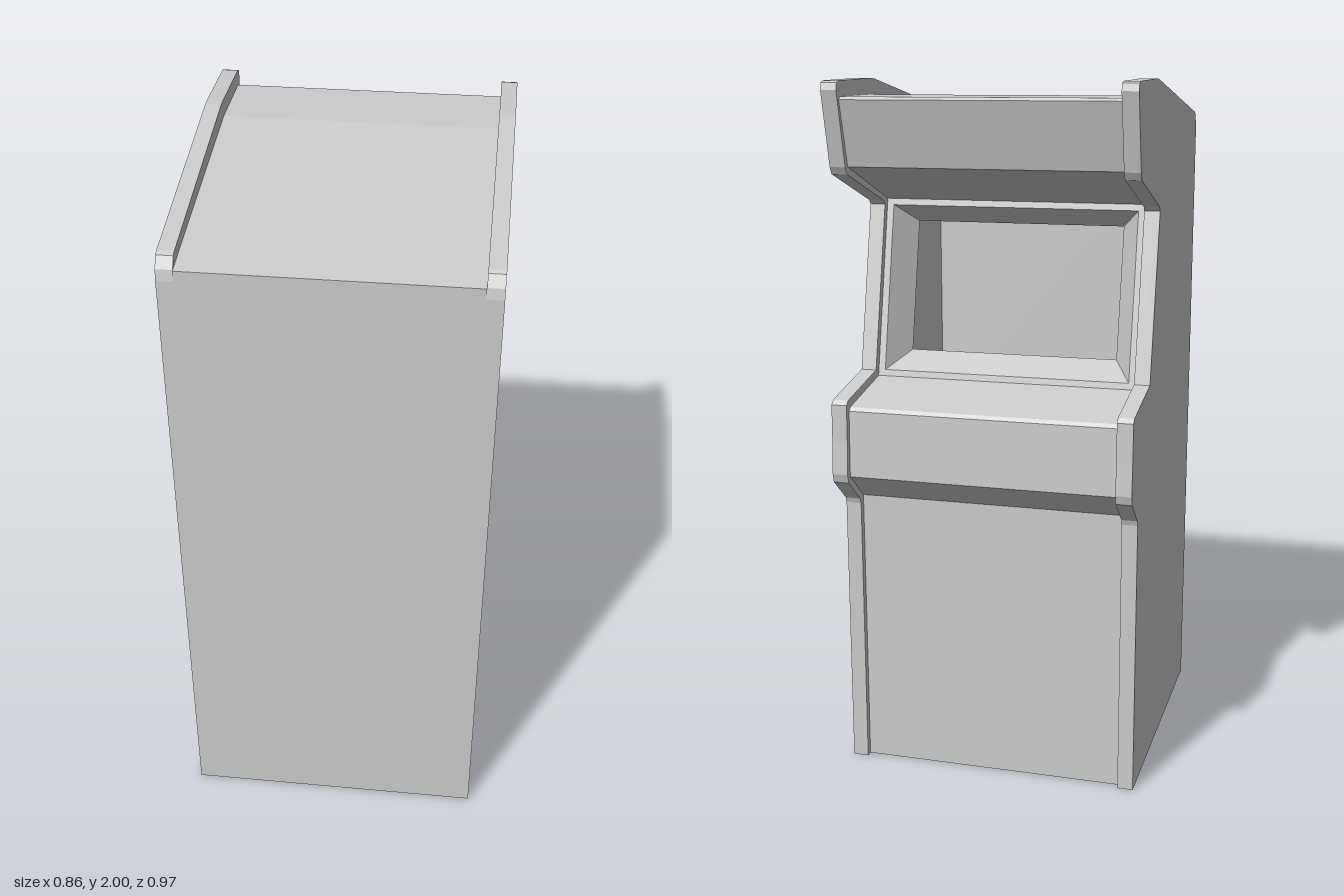
import * as THREE from 'three';

const material = new THREE.MeshStandardMaterial({ color: 0xcccccc, flatShading: true });
const openMaterial = new THREE.MeshStandardMaterial({ color: 0xcccccc, flatShading: true, side: THREE.DoubleSide });

const INNER = 0.385; // half width between the side panels
const OUTER = 0.43;

// Extrudes a [z, y] profile across x, from x0 to x1
function slab(name, profile, x0, x1) {
  const shape = new THREE.Shape(profile.map(([z, y]) => new THREE.Vector2(z, y)));
  const geometry = new THREE.ExtrudeGeometry(shape, { depth: x1 - x0, bevelEnabled: false });
  geometry.rotateY(-Math.PI / 2);
  geometry.translate(x1, 0, 0);
  const mesh = new THREE.Mesh(geometry, material);
  mesh.name = name;
  return mesh;
}

// Screen surround: rectangular rings [halfWidth, bottom [z, y], top [z, y]] joined in order
function screenSurround(rings) {
  const corners = rings.map(([w, b, t]) => [
    [-w, b[1], b[0]], [w, b[1], b[0]], [w, t[1], t[0]], [-w, t[1], t[0]],
  ]);
  const positions = [];
  for (let r = 0; r < corners.length - 1; r++) {
    for (let i = 0; i < 4; i++) {
      const j = (i + 1) % 4;
      const a = corners[r][i], b = corners[r][j];
      const c = corners[r + 1][j], d = corners[r + 1][i];
      positions.push(...a, ...c, ...b, ...a, ...d, ...c);
    }
  }
  const geometry = new THREE.BufferGeometry();
  geometry.setAttribute('position', new THREE.Float32BufferAttribute(positions, 3));
  geometry.computeVertexNormals();
  const mesh = new THREE.Mesh(geometry, openMaterial);
  mesh.name = 'screenSurround';
  return mesh;
}

export function createModel() {
  const group = new THREE.Group();
  group.name = 'arcadeCabinet';

  // Side panels with softened corners, standing proud of the body
  const sideProfile = [
    [0.485, 0], [0.485, 1.83], [0.48, 1.86], [0.462, 1.89], [0.45, 1.895],
    [-0.2, 1.998], [-0.23, 2], [-0.465, 1.995], [-0.48, 1.99], [-0.485, 1.97],
    [-0.437, 1.765], [-0.425, 1.745], [-0.15, 1.652], [-0.14, 1.64],
    [-0.245, 1.165], [-0.465, 1.122], [-0.478, 1.11], [-0.48, 1.0],
    [-0.485, 0.91], [-0.478, 0.885], [-0.395, 0.815], [-0.39, 0.8], [-0.39, 0],
  ];
  group.add(slab('leftSidePanel', sideProfile, INNER, OUTER));
  group.add(slab('rightSidePanel', sideProfile, -OUTER, -INNER));

  // Body with marquee, control deck and an open hollow behind the screen
  group.add(slab('body', [
    [0.485, 0], [0.485, 1.86], [-0.23, 1.955], [-0.46, 1.953], [-0.469, 1.945],
    [-0.418, 1.765], [-0.115, 1.655],
    [-0.08, 1.69], [0.37, 1.8], [0.37, 0.85], [-0.18, 0.85], [-0.18, 1.13],
    [-0.225, 1.145], [-0.45, 1.1], [-0.46, 1.09], [-0.465, 0.9],
    [-0.37, 0.82], [-0.37, 0],
  ], -INNER, INNER));

  // Flat frame that turns into a tapered funnel around the screen opening
  group.add(screenSurround([
    [INNER, [-0.225, 1.145], [-0.115, 1.655]],
    [0.365, [-0.221, 1.163], [-0.119, 1.637]],
    [0.31, [-0.13, 1.21], [-0.05, 1.585]],
  ]));

  return group;
}
